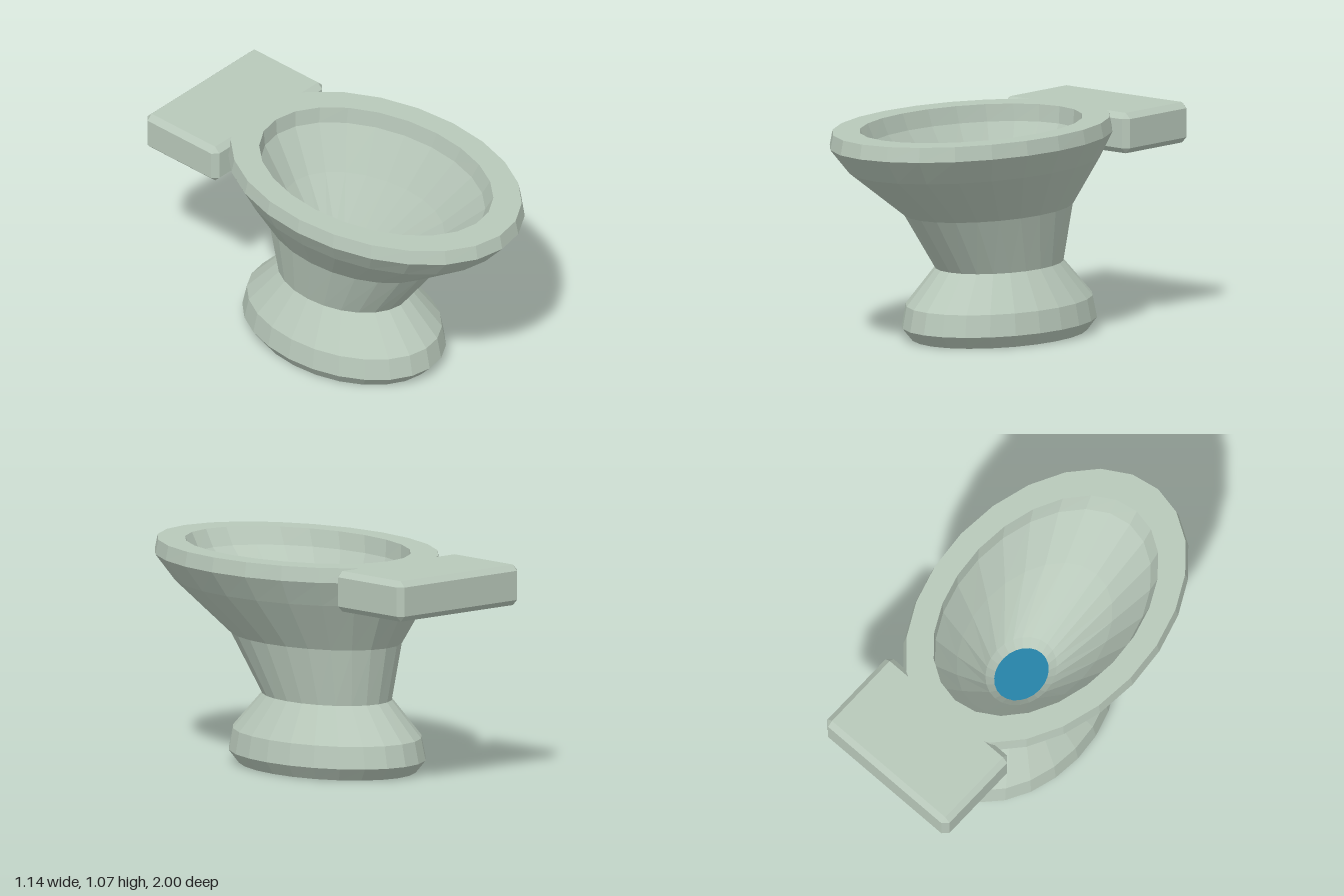
import * as THREE from 'three';
import { ConvexGeometry } from 'three/addons/geometries/ConvexGeometry.js';

const SIDES = 24;

// Faceted skin through oval rings, each [y, half width, back z, front z].
// Rings that rise face outward, rings that sink face inward.
function ovalLoft(rings) {
  const pos = [];
  const point = ([y, rx, back, front], i) => {
    const a = (i / SIDES) * Math.PI * 2;
    return [rx * Math.sin(a), y, (back + front) / 2 + ((front - back) / 2) * Math.cos(a)];
  };
  for (let r = 0; r < rings.length - 1; r++) {
    const low = rings[r], high = rings[r + 1];
    for (let i = 0; i < SIDES; i++) {
      const a = point(low, i), b = point(low, i + 1);
      const c = point(high, i + 1), d = point(high, i);
      if (low[1] > 0) pos.push(...a, ...b, ...c);
      if (high[1] > 0) pos.push(...a, ...c, ...d);
      else if (low[1] === 0) continue;
    }
  }
  const geo = new THREE.BufferGeometry();
  geo.setAttribute('position', new THREE.Float32BufferAttribute(pos, 3));
  geo.computeVertexNormals();
  return geo;
}

// Box with every edge cut at 45 degrees
function chamferBox(w, h, d, c) {
  const pts = [];
  for (const x of [-1, 1]) for (const y of [-1, 1]) for (const z of [-1, 1]) {
    const X = x * w / 2, Y = y * h / 2, Z = z * d / 2;
    pts.push(
      new THREE.Vector3(X, Y - y * c, Z - z * c),
      new THREE.Vector3(X - x * c, Y, Z - z * c),
      new THREE.Vector3(X - x * c, Y - y * c, Z)
    );
  }
  return new ConvexGeometry(pts);
}

export function createModel() {
  const group = new THREE.Group();
  const porcelain = new THREE.MeshStandardMaterial({ color: 0xb8c8ba });
  porcelain.name = 'porcelain';
  const waterBlue = new THREE.MeshStandardMaterial({ color: 0x2682a8 });
  waterBlue.name = 'waterBlue';

  const add = (name, geometry, material) => {
    const mesh = new THREE.Mesh(geometry, material);
    mesh.name = name;
    group.add(mesh);
    return mesh;
  };

  // Shared joints between parts
  const waist = [0.348, 0.265, -0.41, 0.33];
  const rimBottom = [0.993, 0.57, -0.66, 1.0];
  const rimInner = [1.065, 0.44, -0.49, 0.83];
  const waterEdge = [0.45, 0.12, -0.155, 0.14];

  // Foot, closed underneath
  add('foot', ovalLoft([
    [0, 0, -0.045, -0.045],
    [0, 0.36, -0.55, 0.465],
    [0.062, 0.402, -0.605, 0.522],
    [0.17, 0.385, -0.58, 0.50],
    waist,
  ]), porcelain);

  // Outside of the bowl
  add('bowlOutside', ovalLoft([
    waist,
    [0.63, 0.33, -0.465, 0.542],
    [0.87, 0.497, -0.605, 0.89],
    rimBottom,
  ]), porcelain);

  // Rim: outer edge and flat top
  add('rim', ovalLoft([
    rimBottom,
    [1.065, 0.557, -0.645, 0.985],
    rimInner,
  ]), porcelain);

  // Inside of the bowl
  add('bowlInside', ovalLoft([
    rimInner,
    [0.98, 0.425, -0.485, 0.78],
    [0.76, 0.31, -0.365, 0.54],
    [0.5, 0.16, -0.2, 0.18],
    waterEdge,
  ]), porcelain);

  // Water surface
  add('water', ovalLoft([waterEdge, [0.45, 0, -0.007, -0.007]]), waterBlue);

  // Rear slab
  add('rearBlock', chamferBox(0.8, 0.2, 0.475, 0.028), porcelain)
    .position.set(0, 0.965, -0.7625);

  return group;
}
